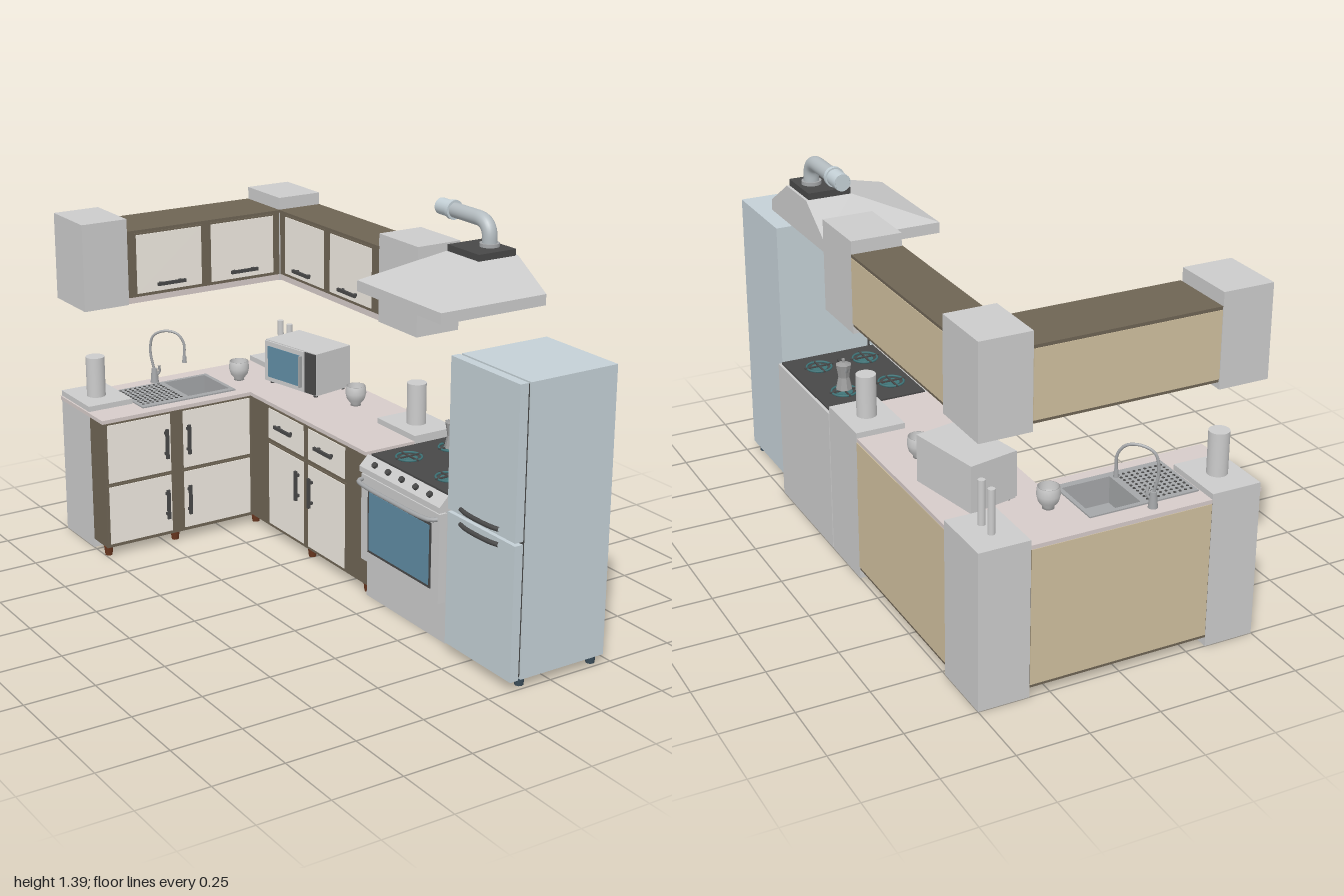
import * as THREE from 'three';

const mat = (color, side = THREE.FrontSide) => new THREE.MeshStandardMaterial({ color, side });
const M = {
  grey: mat(0xcccccc), both: mat(0xcccccc, THREE.DoubleSide), brown: mat(0x6e6454), tan: mat(0xcfbf9e),
  cream: mat(0xf0ebe2), counter: mat(0xd6cbc9), dark: mat(0x484848), steel: mat(0xa4a6a8),
  fridge: mat(0xc4d0d6), foot: mat(0x6b3820), blueFoot: mat(0x3c4f5c), glass: mat(0x5f8ba3), teal: mat(0x3f7478),
};

function add(parent, name, geo, m, x = 0, y = 0, z = 0) {
  const mesh = new THREE.Mesh(geo, m);
  mesh.name = name;
  mesh.position.set(x, y, z);
  parent.add(mesh);
  return mesh;
}
// Box given by its minimum and maximum on each axis
const box = (p, name, m, x0, x1, y0, y1, z0, z1) =>
  add(p, name, new THREE.BoxGeometry(x1 - x0, y1 - y0, z1 - z0), m, (x0 + x1) / 2, (y0 + y1) / 2, (z0 + z1) / 2);
const cyl = (p, name, m, r, y0, y1, x, z, r2 = r, n = 24) =>
  add(p, name, new THREE.CylinderGeometry(r2, r, y1 - y0, n), m, x, (y0 + y1) / 2, z);
const tube = (p, name, m, pts, r, n = 32) =>
  add(p, name, new THREE.TubeGeometry(new THREE.CatmullRomCurve3(pts.map(a => new THREE.Vector3(...a))), n, r, 12), m);
const lathe = (p, name, m, pts, x, y, z, n = 24) =>
  add(p, name, new THREE.LatheGeometry(pts.map(a => new THREE.Vector2(...a)), n), m, x, y, z);

function group(parent, name) {
  const g = new THREE.Group();
  g.name = name;
  parent.add(g);
  return g;
}
// Group facing -x: its own x is the room's z, its own z is the room's -x
function sideGroup(parent, name) {
  const g = group(parent, name);
  g.rotation.y = -Math.PI / 2;
  return g;
}

// Bar handle on two posts, facing +z
function handle(p, x, y, z, len, vertical) {
  const g = group(p, 'handle');
  g.position.set(x, y, z);
  if (vertical) g.rotation.z = Math.PI / 2;
  box(g, 'handleBar', M.dark, -len / 2, len / 2, -0.006, 0.006, 0.013, 0.022);
  for (const s of [-1, 1]) box(g, 'handlePost', M.dark, s * len * 0.35 - 0.005, s * len * 0.35 + 0.005, -0.005, 0.005, 0, 0.014);
}

// Cream door or drawer front in a slim frame
function front(p, x0, x1, y0, y1, z) {
  box(p, 'doorFrame', M.brown, x0, x1, y0, y1, z, z + 0.004);
  box(p, 'doorPanel', M.cream, x0 + 0.006, x1 - 0.006, y0 + 0.006, y1 - 0.006, z, z + 0.007);
}

// L-shaped slab in plan with an optional rectangular hole [x0, x1, z0, z1]
function slab(p, name, m, e, y0, y1, hole) {
  const s = new THREE.Shape([[-0.498 - e, 0.998], [0.498, 0.998], [0.498, -0.128], [0.125 - e, -0.128], [0.125 - e, 0.66 - e], [-0.498 - e, 0.66 - e]]
    .map(a => new THREE.Vector2(...a)));
  if (hole) {
    const [a, b, c, d] = hole;
    s.holes.push(new THREE.Path([[a, -c], [a, -d], [b, -d], [b, -c]].map(v => new THREE.Vector2(...v))));
  }
  add(p, name, new THREE.ExtrudeGeometry(s, { depth: y1 - y0, bevelEnabled: false }), m, 0, y0, 0).rotation.x = -Math.PI / 2;
}

function lowerCabinets(root) {
  const g = group(root, 'lowerCabinets');
  const hole = [-0.115, 0.07, -0.92, -0.72];
  slab(g, 'cabinetBody', M.brown, 0, 0.033, 0.44, null);
  slab(g, 'cabinetTopSection', M.brown, 0, 0.44, 0.521, hole);
  slab(g, 'countertop', M.counter, 0.008, 0.521, 0.535, hole);
  box(g, 'backPanel', M.tan, -0.32, 0.32, 0.043, 0.521, -1, -0.996);
  box(g, 'sidePanel', M.tan, 0.496, 0.5, 0.043, 0.521, -0.77, -0.1);
  // Back run doors
  for (const [x0, x1, hx] of [[-0.492, -0.222, -0.25], [-0.18, 0.118, -0.157]])
    for (const y of [0.042, 0.282]) {
      front(g, x0, x1, y, y + 0.236, -0.66);
      handle(g, hx, y + 0.12, -0.655, 0.115, true);
    }
  // Side run drawers and doors
  const s = sideGroup(g, 'sideRunFronts');
  for (const k of [-1, 1]) {
    const c = -0.265 + k * 0.137;
    front(s, c - 0.127, c + 0.127, 0.385, 0.515, -0.125);
    front(s, c - 0.127, c + 0.127, 0.042, 0.375, -0.125);
    handle(s, c, 0.455, -0.12, 0.115, false);
    handle(s, -0.265 + k * 0.045, 0.27, -0.12, 0.115, true);
  }
  for (const [x, z] of [[-0.485, -0.68], [-0.205, -0.68], [0.145, -0.67], [0.145, -0.26], [0.145, 0.11]])
    cyl(g, 'foot', M.foot, 0.014, 0, 0.034, x, z, 0.018, 8);
}

function upperCabinets(root) {
  const g = group(root, 'upperCabinets');
  const runs = [[group(g, 'backUpper'), -0.32, 0.32, -0.998, -0.77], [sideGroup(g, 'sideUpper'), -0.77, -0.1, -0.498, -0.325]];
  for (const [r, x0, x1, z0, z1] of runs) {
    box(r, 'upperBody', M.brown, x0, x1, 0.94, 1.18, z0, z1);
    box(r, 'upperTop', M.brown, x0, x1, 1.18, 1.19, z0 - 0.002, z1 + 0.006);
    box(r, 'lightStrip', M.counter, x0, x1, 0.918, 0.94, z1 - 0.015, z1);
    box(r, 'upperBack', M.tan, x0, x1, 0.95, 1.178, z0 - 0.002, z0 + 0.002);
    const mid = (x0 + x1) / 2;
    for (const k of [-1, 1]) {
      const c = mid + k * 0.155;
      front(r, c - 0.14, c + 0.14, 0.947, 1.178, z1);
      handle(r, c, 0.982, z1 + 0.005, 0.115, false);
    }
  }
}

// Plain blocks at the ends and in the corner, below and above
function wallBlocks(root) {
  for (const [x0, x1, z0, z1] of [[-0.5, -0.322, -1, -0.77], [0.322, 0.5, -1, -0.77], [0.322, 0.5, -0.103, 0.13]]) {
    box(root, 'lowerBlock', M.grey, x0, x1, 0, 0.555, z0, z1);
    box(root, 'upperBlock', M.grey, x0, x1, 0.915, 1.235, z0, z1);
  }
}

function sink(root) {
  const g = group(root, 'sink');
  // Basin lining, rim and ribbed drainboard
  box(g, 'basinFloor', M.steel, -0.115, 0.07, 0.438, 0.445, -0.92, -0.72);
  for (const [a, b, c, d] of [[-0.12, -0.11, -0.925, -0.715], [0.065, 0.08, -0.925, -0.715], [-0.12, 0.08, -0.93, -0.915], [-0.12, 0.08, -0.725, -0.7]])
    box(g, 'basinWall', M.steel, a, b, 0.44, 0.54, c, d);
  box(g, 'drainboard', M.steel, -0.315, -0.12, 0.53, 0.54, -0.93, -0.7);
  for (let i = 0; i < 9; i++)
    for (let j = 0; j < 10; j++) cyl(g, 'drainDot', M.dark, 0.005, 0.539, 0.542, -0.298 + i * 0.02, -0.91 + j * 0.02, 0.005, 6);
  cyl(g, 'drain', M.dark, 0.018, 0.444, 0.447, -0.02, -0.82);
  // Faucet
  cyl(g, 'faucetBase', M.steel, 0.016, 0.535, 0.59, -0.13, -0.955, 0.011);
  tube(g, 'faucetNeck', M.steel, [[-0.13, 0.58, -0.955], [-0.14, 0.66, -0.965], [-0.132, 0.72, -0.955], [-0.1, 0.742, -0.925], [-0.065, 0.735, -0.89], [-0.046, 0.7, -0.872], [-0.045, 0.64, -0.87]], 0.005);
  cyl(g, 'faucetSpout', M.steel, 0.009, 0.622, 0.648, -0.045, -0.87, 0.007);
  tube(g, 'faucetLever', M.steel, [[-0.13, 0.56, -0.955], [-0.115, 0.575, -0.945], [-0.118, 0.605, -0.94]], 0.005, 8);
}

function stove(root) {
  const g = sideGroup(root, 'stove');
  box(g, 'stoveBody', M.grey, 0.137, 0.605, 0, 0.525, -0.5, -0.12);
  box(g, 'cooktop', M.dark, 0.145, 0.597, 0.525, 0.532, -0.49, -0.13);
  // Sloping control panel with knobs
  const s = new THREE.Shape([[0.12, 0.53], [0.085, 0.495], [0.085, 0.475], [0.12, 0.475]].map(a => new THREE.Vector2(...a)));
  const panel = add(root, 'controlPanel', new THREE.ExtrudeGeometry(s, { depth: 0.468, bevelEnabled: false }), M.grey, 0, 0, 0.137);
  panel.updateMatrix();
  for (let i = 0; i < 5; i++)
    cyl(g, 'knob', M.dark, 0.011, -0.006, 0.008, 0.21 + i * 0.08, -0.1, 0.011, 12).rotation.x = Math.PI / 4;
  g.children.filter(c => c.name === 'knob').forEach(c => { c.position.y = 0.515; });
  // Oven door
  box(g, 'ovenDoor', M.grey, 0.142, 0.6, 0.15, 0.468, -0.12, -0.09);
  box(g, 'windowFrame', M.dark, 0.185, 0.557, 0.19, 0.425, -0.091, -0.088);
  box(g, 'ovenWindow', M.glass, 0.195, 0.547, 0.2, 0.415, -0.09, -0.086);
  tube(g, 'ovenHandle', M.steel, [[0.15, 0.45, -0.088], [0.16, 0.45, -0.066], [0.37, 0.45, -0.052], [0.58, 0.45, -0.066], [0.59, 0.45, -0.088]], 0.008);
  // Burners with four-arm grates
  for (const x of [0.255, 0.485])
    for (const z of [-0.39, -0.21]) {
      cyl(g, 'burner', M.teal, 0.03, 0.532, 0.538, x, z);
      add(g, 'burnerRing', new THREE.TorusGeometry(0.045, 0.004, 6, 24), M.teal, x, 0.54, z).rotation.x = Math.PI / 2;
      for (const a of [0, Math.PI / 2])
        add(g, 'grate', new THREE.BoxGeometry(0.11, 0.005, 0.006), M.dark, x, 0.542, z).rotation.y = a;
    }
}

function hood(root) {
  const g = group(root, 'rangeHood');
  box(g, 'hoodRim', M.grey, 0.075, 0.497, 1.117, 1.155, 0.13, 0.605);
  box(g, 'hoodUnderside', M.dark, 0.09, 0.482, 1.114, 1.12, 0.145, 0.59);
  // Canopy: a box with its top drawn in toward the duct
  const geo = new THREE.BoxGeometry(0.422, 0.097, 0.475).toNonIndexed();
  const p = geo.attributes.position;
  for (let i = 0; i < p.count; i++)
    if (p.getY(i) > 0) p.setXYZ(i, p.getX(i) > 0 ? 0.211 : 0.045, p.getY(i), p.getZ(i) > 0 ? 0.085 : -0.09);
  geo.computeVertexNormals();
  add(g, 'hoodCanopy', geo, M.grey, 0.286, 1.2035, 0.3675);
  box(g, 'ductCollar', M.dark, 0.335, 0.487, 1.25, 1.275, 0.28, 0.452);
  cyl(g, 'ductBase', M.steel, 0.034, 1.275, 1.287, 0.437, 0.375);
  // Duct with a bend toward the back
  const path = new THREE.CurvePath();
  const v = (y, z) => new THREE.Vector3(0.437, y, z);
  path.add(new THREE.LineCurve3(v(1.275, 0.375), v(1.3, 0.375)));
  path.add(new THREE.QuadraticBezierCurve3(v(1.3, 0.375), v(1.359, 0.375), v(1.359, 0.31)));
  path.add(new THREE.LineCurve3(v(1.359, 0.31), v(1.359, 0.1)));
  add(g, 'duct', new THREE.TubeGeometry(path, 48, 0.026, 24), mat(0xb4bcc0, THREE.DoubleSide));
  for (const [r, a, b] of [[0.034, 0.165, 0.18], [0.029, 0.102, 0.165]])
    add(g, 'ductSleeve', new THREE.CylinderGeometry(r, r, b - a, 24), M.fridge, 0.437, 1.359, (a + b) / 2).rotation.x = Math.PI / 2;
}

function fridge(root) {
  const g = sideGroup(root, 'fridge');
  box(g, 'fridgeBody', M.fridge, 0.65, 1, 0.033, 1.027, -0.468, -0.127);
  box(g, 'doorSeal', M.dark, 0.657, 0.993, 0.04, 1.02, -0.127, -0.115);
  box(g, 'lowerDoor', M.fridge, 0.65, 1, 0.033, 0.5, -0.117, -0.085);
  box(g, 'upperDoor', M.fridge, 0.65, 1, 0.51, 1.027, -0.117, -0.085);
  for (const y of [0.478, 0.53])
    tube(g, 'fridgeHandle', M.dark, [[0.72, y, -0.085], [0.75, y, -0.077], [0.82, y, -0.073], [0.89, y, -0.077], [0.92, y, -0.085]], 0.008);
  for (const x of [0.68, 0.97])
    for (const z of [-0.44, -0.145]) cyl(g, 'fridgeFoot', M.blueFoot, 0.015, 0, 0.034, x, z, 0.018, 8);
}

function microwave(root) {
  const g = group(root, 'microwave');
  g.position.set(0.34, 0.535, -0.603);
  g.rotation.y = -Math.PI / 2 + 0.195;
  box(g, 'ovenCase', M.grey, -0.14, 0.14, 0.01, 0.173, -0.09, 0.085);
  box(g, 'microwaveDoor', M.grey, -0.138, 0.075, 0.013, 0.17, 0.085, 0.092);
  box(g, 'microwaveWindow', M.glass, -0.12, 0.055, 0.03, 0.152, 0.09, 0.094);
  box(g, 'keypad', M.dark, 0.08, 0.136, 0.013, 0.17, 0.085, 0.09);
  box(g, 'microwaveHandle', M.steel, 0.06, 0.068, 0.03, 0.152, 0.092, 0.105);
  for (const x of [-0.12, 0.12]) for (const z of [-0.07, 0.07]) cyl(g, 'microwaveFoot', M.dark, 0.008, 0, 0.011, x, z, 0.008, 8);
}

function tableware(root) {
  const g = group(root, 'tableware');
  for (const [x, z] of [[0.41, 0.015], [-0.415, -0.88]]) cyl(g, 'canister', M.grey, 0.035, 0.555, 0.706, x, z);
  for (const z of [-0.845, -0.91]) cyl(g, 'slimJar', M.grey, 0.012, 0.555, 0.708, 0.41, z, 0.012, 16);
  for (const [x, z] of [[0.37, -0.315], [0.16, -0.81]])
    lathe(g, 'bowl', M.both, [[0, 0], [0.02, 0], [0.018, 0.006], [0.033, 0.025], [0.039, 0.048], [0.036, 0.075], [0.033, 0.075], [0.035, 0.048], [0.028, 0.025], [0, 0.012]], x, 0.535, z);
  // Coffee pot
  const p = group(g, 'coffeePot');
  p.position.set(0.385, 0.544, 0.268);
  lathe(p, 'potBody', mat(0x9c9c9c, THREE.DoubleSide), [[0, 0], [0.03, 0], [0.02, 0.045], [0.021, 0.052], [0.028, 0.092], [0.005, 0.1], [0.006, 0.112], [0, 0.113]], 0, 0, 0, 8).material.flatShading = true;
  tube(p, 'potHandle', M.dark, [[0, 0.09, 0.024], [0, 0.09, 0.045], [0, 0.07, 0.046], [0, 0.045, 0.04]], 0.005, 12);
  tube(p, 'potSpout', M.steel, [[0, 0.07, -0.022], [0, 0.09, -0.035]], 0.006, 4);
}

export function createModel() {
  const root = new THREE.Group();
  root.name = 'kitchen';
  [lowerCabinets, upperCabinets, wallBlocks, sink, stove, hood, fridge, microwave, tableware].forEach(f => f(root));
  return root;
}
